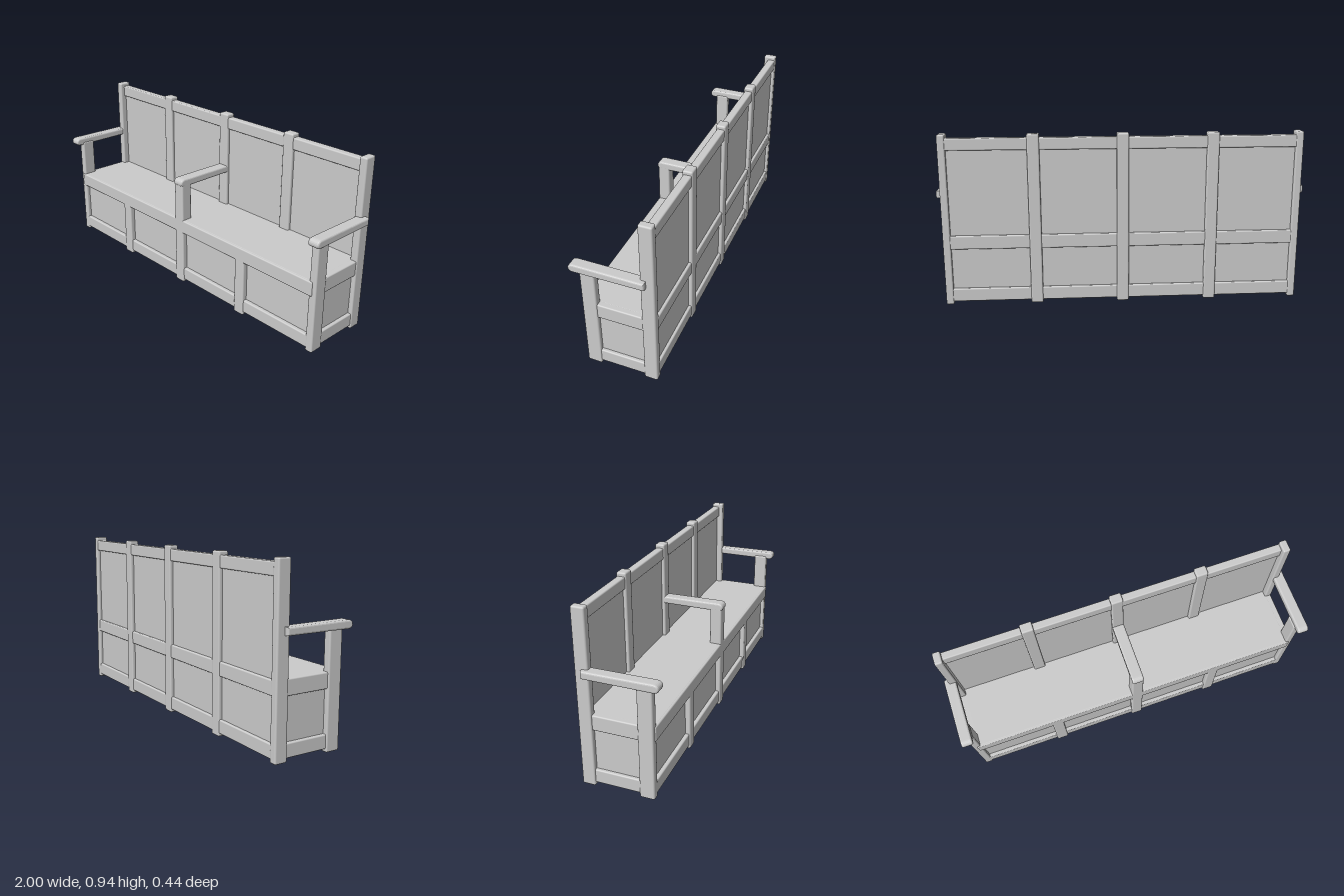
import * as THREE from 'three';
import { RoundedBoxGeometry } from 'three/addons/geometries/RoundedBoxGeometry.js';

export function createModel() {
  const bench = new THREE.Group();
  bench.name = 'bench';
  const material = new THREE.MeshStandardMaterial({ color: 0xcccccc });

  // The frame stands slightly out of square: depth shifts along the length.
  const skew = new THREE.Matrix4().set(
    1, 0, 0, 0,
    0, 1, 0, 0,
    -0.008, 0, 1, 0,
    0, 0, 0, 1);

  function add(name, geometry) {
    geometry.applyMatrix4(skew);
    const mesh = new THREE.Mesh(geometry, material);
    mesh.name = name;
    bench.add(mesh);
  }

  // Softened timber given by its extents on each axis.
  function timber(name, [x0, x1], [y0, y1], [z0, z1], radius = 0.007) {
    const g = new RoundedBoxGeometry(x1 - x0, y1 - y0, z1 - z0, 2, radius);
    g.translate((x0 + x1) / 2, (y0 + y1) / 2, (z0 + z1) / 2);
    add(name, g);
  }

  // Armrest with a rounded, slightly drooping nose.
  function armrest(x, width, tip) {
    const b = 0.009;
    const s = new THREE.Shape();
    s.moveTo(-0.165, 0.604);
    s.lineTo(tip - 0.03, 0.602);
    s.quadraticCurveTo(tip - b, 0.602, tip - b, 0.613);
    s.quadraticCurveTo(tip - b, 0.628, tip - 0.03, 0.628);
    s.lineTo(-0.165, 0.626);
    const g = new THREE.ExtrudeGeometry(s, {
      depth: width - 2 * b, bevelSize: b, bevelThickness: b, bevelSegments: 3, curveSegments: 6,
    });
    g.translate(0, 0, -(width / 2 - b));
    g.rotateY(-Math.PI / 2); // profile x becomes depth
    g.translate(x, 0, 0);
    add('armrest', g);
  }

  // Back posts run the full height.
  const posts = [[-0.955, 0.042], [-0.485, 0.066], [0, 0.066], [0.475, 0.066], [0.952, 0.042]];
  for (const [x, w] of posts) {
    const span = [x - w / 2, x + w / 2];
    const end = Math.abs(x) > 0.9;
    timber('backPost', span, [0, 0.94], end ? [-0.214, -0.144] : [-0.216, -0.162], 0.009);
    // Front posts: ends and centre carry arms, the others stop under the seat.
    const top = end || x === 0 ? 0.61 : 0.33;
    timber('frontPost', span, [0, top], end ? [0.092, 0.17] : [0.11, 0.176], 0.009);
  }

  // Long rails, front and back.
  for (const y of [[0.855, 0.92], [0.315, 0.39], [0.017, 0.09]])
    timber('backRail', [-0.955, 0.952], y, [-0.211, -0.168]);
  timber('seatRail', [-0.955, 0.952], [0.315, 0.393], [0.12, 0.176]);
  timber('frontBottomRail', [-0.955, 0.952], [0.017, 0.09], [0.12, 0.169]);

  // Thin panels set back from the frame, then seat and floor.
  timber('backPanel', [-0.95, 0.947], [0.03, 0.9], [-0.196, -0.18], 0.003);
  timber('frontPanel', [-0.95, 0.947], [0.03, 0.36], [0.13, 0.148], 0.003);
  timber('seat', [-0.945, 0.942], [0.35, 0.394], [-0.19, 0.168], 0.006);
  timber('floor', [-0.95, 0.947], [0.018, 0.045], [-0.2, 0.155], 0.004);

  // End frames.
  for (const side of [-1, 1]) {
    const xs = (a, b) => (side > 0 ? [a, b] : [-b, -a]);
    timber('endSeatRail', xs(0.933, 0.968), [0.312, 0.394], [-0.17, 0.13]);
    timber('endBottomRail', xs(0.933, 0.968), [0.017, 0.09], [-0.17, 0.13]);
    timber('endPanel', xs(0.932, 0.95), [0.03, 0.36], [-0.18, 0.14], 0.003);
    armrest(side * 0.969, 0.062, 0.212);
  }
  armrest(0, 0.066, 0.182);

  return bench;
}
